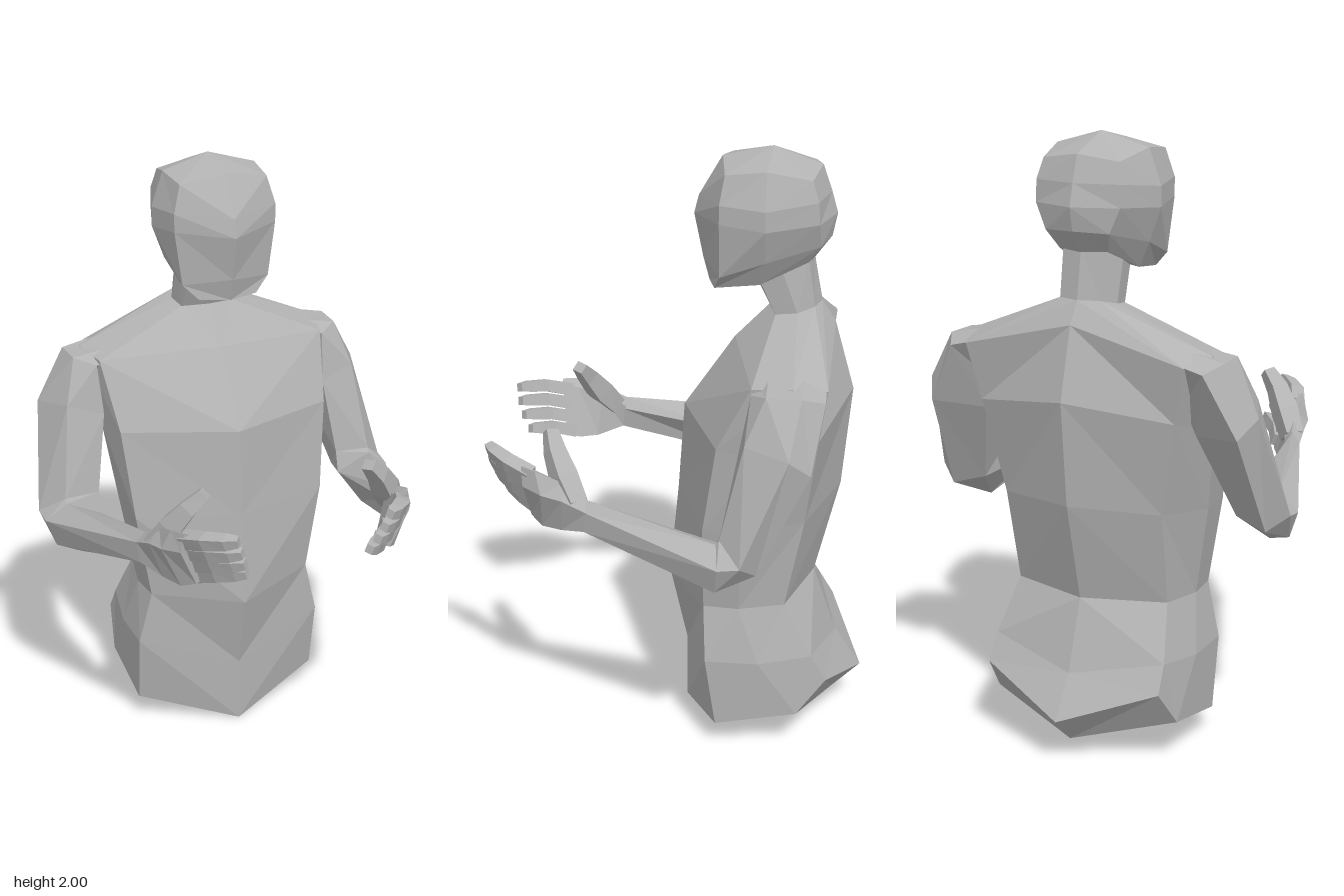
import * as THREE from 'three';

const grey = new THREE.MeshStandardMaterial({ color: 0xb2b2b2 });
grey.name = 'plain grey';

const centre = (ring) => [0, 1, 2].map((k) => ring.reduce((s, p) => s + p[k], 0) / ring.length);

// Skin over a stack of rings, closed at both ends; faces are turned outward by signed volume
function loft(name, rings, { startTip, endTip, symmetric = false } = {}) {
  const tris = [];
  const n = rings[0].length;
  const first = rings[0], last = rings[rings.length - 1];
  const c0 = startTip || centre(first), c1 = endTip || centre(last);
  for (let j = 0; j < n; j++) {
    const k = (j + 1) % n;
    tris.push([c0, first[k], first[j]], [c1, last[j], last[k]]);
    for (let i = 0; i + 1 < rings.length; i++) {
      const a = rings[i][j], b = rings[i][k], c = rings[i + 1][k], d = rings[i + 1][j];
      // The far half uses the other diagonal so both sides match
      if (symmetric && j >= n / 2) tris.push([a, b, d], [b, c, d]);
      else tris.push([a, b, c], [a, c, d]);
    }
  }
  const v = (p) => new THREE.Vector3(...p);
  const o = v(c0);
  let volume = 0;
  for (const [a, b, c] of tris) volume += v(a).sub(o).dot(v(b).sub(o).cross(v(c).sub(o)));
  if (volume < 0) tris.forEach((t) => t.reverse());
  const geo = new THREE.BufferGeometry();
  geo.setAttribute('position', new THREE.Float32BufferAttribute(tris.flat(2), 3));
  geo.computeVertexNormals(); // unshared corners give flat facets
  const mesh = new THREE.Mesh(geo, grey);
  mesh.name = name;
  return mesh;
}

// Half ring (front centre round to back centre) completed by mirroring
const whole = (half) => [...half, ...half.slice(1, -1).reverse().map(([x, y, z]) => [-x, y, z])];

// Four-sided tapering digit along a path
function digit(name, path, widths, heights, side) {
  const pts = path.map((p) => new THREE.Vector3(...p));
  const rings = pts.map((p, i) => {
    const t = pts[Math.min(i + 1, pts.length - 1)].clone().sub(pts[Math.max(i - 1, 0)]).normalize();
    const across = new THREE.Vector3(0.8, -0.3, 0.5);
    across.addScaledVector(t, -across.dot(t)).normalize();
    const up = t.clone().cross(across).normalize();
    return [[1, 1], [1, -1], [-1, -1], [-1, 1]].map(([a, b]) => {
      const q = p.clone().addScaledVector(across, a * widths[i]).addScaledVector(up, b * heights[i]);
      return [q.x * side, q.y, q.z];
    });
  });
  return loft(name, rings);
}

function buildArm(side) {
  const arm = new THREE.Group();
  arm.name = side > 0 ? 'leftArm' : 'rightArm';
  const flip = (rings) => rings.map((r) => r.map(([x, y, z]) => [x * side, y, z]));

  // Shoulder root, shoulder, biceps, elbow (two rings), wrist
  arm.add(loft('armLimb', flip([
    [[0.31, 1.33, -0.25], [0.34, 1.365, -0.30], [0.34, 1.375, -0.41], [0.32, 1.35, -0.48], [0.28, 1.20, -0.38]],
    [[0.41, 1.325, -0.25], [0.475, 1.345, -0.30], [0.48, 1.345, -0.41], [0.44, 1.32, -0.48], [0.34, 1.20, -0.40]],
    [[0.40, 1.16, -0.22], [0.52, 1.20, -0.24], [0.582, 1.18, -0.38], [0.54, 1.12, -0.445], [0.375, 1.10, -0.38]],
    [[0.44, 0.90, -0.18], [0.56, 0.90, -0.17], [0.635, 0.84, -0.24], [0.57, 0.79, -0.285], [0.46, 0.82, -0.26]],
    [[0.44, 0.83, -0.16], [0.56, 0.885, -0.16], [0.632, 0.83, -0.17], [0.60, 0.74, -0.16], [0.52, 0.715, -0.13]],
    [[0.405, 0.92, 0.27], [0.43, 0.955, 0.27], [0.46, 0.92, 0.26], [0.45, 0.85, 0.27], [0.415, 0.85, 0.28]],
  ])));

  // Palm, rolled so its lower edge lies further in
  arm.add(loft('palm', flip([
    [[0.405, 0.93, 0.26], [0.43, 0.955, 0.26], [0.46, 0.92, 0.26], [0.45, 0.85, 0.27], [0.41, 0.85, 0.27]],
    [[0.375, 0.98, 0.34], [0.41, 1.00, 0.34], [0.445, 0.95, 0.34], [0.405, 0.83, 0.35], [0.34, 0.84, 0.35]],
    [[0.365, 1.01, 0.42], [0.405, 1.03, 0.43], [0.43, 0.96, 0.41], [0.37, 0.825, 0.42], [0.305, 0.845, 0.41]],
    [[0.345, 1.025, 0.475], [0.38, 1.035, 0.48], [0.39, 0.97, 0.475], [0.335, 0.845, 0.46], [0.29, 0.86, 0.45]],
  ])));

  // Four curled fingers, index to little
  for (let i = 0; i < 4; i++) {
    const reach = [0, 0, 0.012, 0.04][i];
    const y = 1.0 - 0.045 * i;
    arm.add(digit(`finger${i + 1}`, [
      [0.368 - 0.018 * i, y, 0.45 - 0.006 * i],
      [0.333 - 0.018 * i, y + 0.025, 0.53 - 0.006 * i - reach * 0.4],
      [0.285 - 0.017 * i, y + 0.038, 0.585 - 0.006 * i - reach * 0.6],
      [0.253 - 0.015 * i, y + 0.045, 0.61 - 0.005 * i - reach * 0.7],
    ], [0.024, 0.023, 0.02, 0.013], [0.022, 0.021, 0.019, 0.014], side));
  }

  // Raised thumb
  arm.add(digit('thumb', [
    [0.415, 0.93, 0.30], [0.37, 1.00, 0.345], [0.325, 1.07, 0.38], [0.28, 1.12, 0.40],
  ], [0.03, 0.035, 0.028, 0.02], [0.03, 0.036, 0.027, 0.018], side));
  return arm;
}

export function createModel() {
  const model = new THREE.Group();
  model.name = 'upperBodyFigure';

  // Pelvis, waist, chest, shoulders and neck in one skin
  model.add(loft('torsoAndNeck', [
    [[0, 0.005, -0.01], [0.33, 0.095, -0.14], [0.33, 0.15, -0.41], [0.31, 0.275, -0.505], [0, 0.165, -0.615]],
    [[0, 0.235, -0.01], [0.335, 0.335, -0.105], [0.335, 0.335, -0.28], [0.305, 0.36, -0.455], [0, 0.30, -0.525]],
    [[0, 0.50, 0.05], [0.29, 0.52, -0.095], [0.30, 0.52, -0.21], [0.27, 0.53, -0.36], [0, 0.53, -0.445]],
    [[0, 0.82, 0.02], [0.34, 0.82, -0.095], [0.35, 0.82, -0.23], [0.28, 0.84, -0.42], [0, 0.86, -0.525]],
    [[0, 1.12, 0], [0.37, 1.12, -0.14], [0.39, 1.10, -0.28], [0.34, 1.15, -0.46], [0, 1.20, -0.555]],
    [[0, 1.365, -0.165], [0.40, 1.34, -0.25], [0.43, 1.355, -0.38], [0.38, 1.335, -0.485], [0, 1.43, -0.49]],
    [[0, 1.48, -0.275], [0.09, 1.475, -0.30], [0.10, 1.485, -0.37], [0.07, 1.50, -0.425], [0, 1.50, -0.445]],
    [[0, 1.60, -0.215], [0.08, 1.60, -0.24], [0.095, 1.62, -0.32], [0.07, 1.66, -0.40], [0, 1.66, -0.415]],
  ].map(whole), { startTip: [0, 0.07, -0.52], symmetric: true }));

  // Head, from jaw line to crown
  model.add(loft('head', [
    [[0, 1.555, -0.08], [0.10, 1.56, -0.105], [0.115, 1.58, -0.25], [0.085, 1.65, -0.40], [0, 1.64, -0.415]],
    [[0, 1.63, -0.06], [0.15, 1.61, -0.125], [0.16, 1.665, -0.27], [0.11, 1.71, -0.44], [0, 1.715, -0.47]],
    [[0, 1.775, -0.03], [0.175, 1.79, -0.125], [0.20, 1.775, -0.27], [0.145, 1.79, -0.435], [0, 1.79, -0.485]],
    [[0, 1.835, -0.045], [0.175, 1.85, -0.125], [0.20, 1.84, -0.27], [0.145, 1.86, -0.43], [0, 1.86, -0.465]],
    [[0, 1.965, -0.12], [0.15, 1.94, -0.14], [0.16, 1.955, -0.27], [0.13, 1.925, -0.41], [0, 1.945, -0.435]],
  ].map(whole), { endTip: [0, 2, -0.28], symmetric: true }));

  model.add(buildArm(1), buildArm(-1));
  return model;
}
